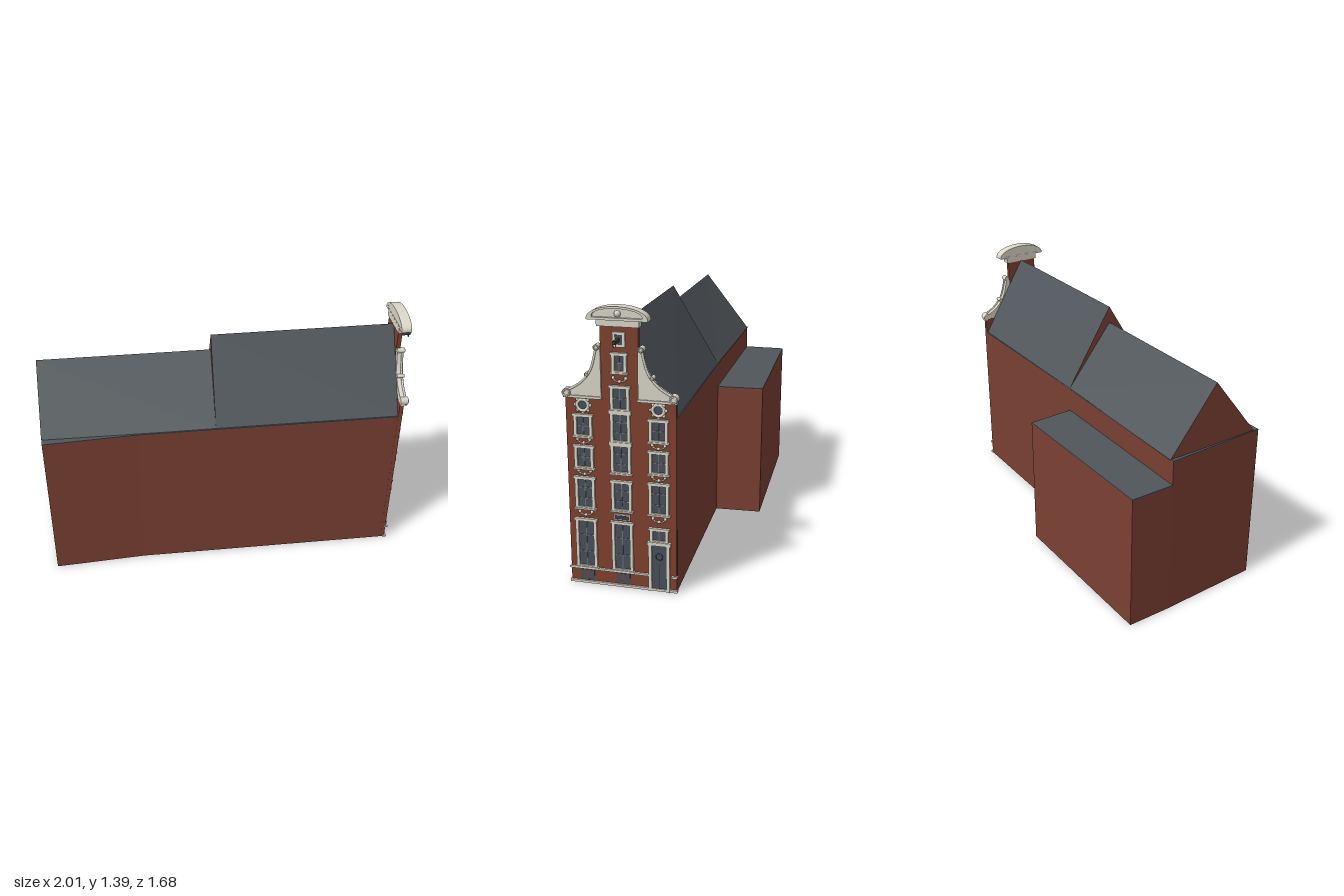
import * as THREE from 'three';

const mat = (name, color) => {
  const m = new THREE.MeshStandardMaterial({ color });
  m.name = name;
  return m;
};

export function createModel() {
  const brick = mat('brick', 0x7a4033);
  const frontBrick = mat('front brick', 0x7f402e);
  const slate = mat('slate', 0x50565b);
  const stone = mat('stone', 0xdad6c8);
  const glass = mat('dark glass', 0x48505a);
  const sash = mat('sash grey', 0x6f747a);
  const iron = mat('dark iron', 0x393b3c);

  const model = new THREE.Group();
  model.name = 'canalHouse';
  const add = (parent, name, geometry, material, x = 0, y = 0, z = 0) => {
    const m = new THREE.Mesh(geometry, material);
    m.name = name;
    m.position.set(x, y, z);
    parent.add(m);
    return m;
  };

  // Upright prism over a footprint of [x, z] points
  const prism = (name, pts, y0, y1, material) => {
    const shape = new THREE.Shape(pts.map(([x, z]) => new THREE.Vector2(x, -z)));
    const g = new THREE.ExtrudeGeometry(shape, { depth: y1 - y0, bevelEnabled: false });
    g.rotateX(-Math.PI / 2);
    add(model, name, g, material, 0, y0, 0);
  };
  const body = [[0.976, -0.412], [0.638, -0.82], [-0.12, -0.18], [-0.85, 0.42], [-0.48, 0.83], [-0.115, 0.49]];
  const annex = [[-0.29, -0.365], [-1, 0.24], [-0.85, 0.42], [-0.12, -0.18]];
  prism('bodyWalls', body, 0, 0.87, brick);
  prism('bodyCap', body, 0.87, 0.875, slate);
  prism('annexWalls', annex, 0, 0.737, brick);
  prism('annexRoof', annex, 0.737, 0.742, slate);

  // Saddle roof: eave, ridge, eave at the rear (a, b, c) and at the front (d, e, f)
  const faces = (name, tris, material) => {
    const g = new THREE.BufferGeometry();
    g.setAttribute('position', new THREE.Float32BufferAttribute(tris.flat(), 3));
    g.computeVertexNormals();
    add(model, name, g, material);
  };
  const saddleRoof = (name, a, b, c, d, e, f) => {
    faces(name + 'Slopes', [d, e, b, d, b, a, f, c, b, f, b, e], slate);
    faces(name + 'Gables', [a, b, c, d, f, e], brick);
  };
  saddleRoof('frontRoof', [0.2, 0.873, 0.22], [0.038, 1.3, 0.022], [-0.12, 0.873, -0.18],
    [0.968, 0.873, -0.412], [0.803, 1.3, -0.614], [0.64, 0.873, -0.814]);
  saddleRoof('rearRoof', [-0.505, 0.88, 0.805], [-0.668, 1.21, 0.607], [-0.838, 0.873, 0.405],
    [0.2, 0.873, 0.22], [0.038, 1.21, 0.022], [-0.12, 0.873, -0.18]);

  // Street front, built flat: x to the right seen from the street, z outwards
  const front = new THREE.Group();
  front.name = 'streetFront';
  front.position.set(0.815, 0, -0.622);
  front.rotation.y = 2.263;
  model.add(front);
  const box = (name, w, h, d, material, x, y, z) =>
    add(front, name, new THREE.BoxGeometry(w, h, d), material, x, y, z);
  const slab = (name, shape, depth, material, z) =>
    add(front, name, new THREE.ExtrudeGeometry(shape, { depth, bevelEnabled: false, curveSegments: 20 }), material, 0, 0, z);
  const poly = (pts) => new THREE.Shape(pts.map(([x, y]) => new THREE.Vector2(x, y)));
  const rect = (x0, x1, y0, y1) => [[x0, y0], [x1, y0], [x1, y1], [x0, y1]];

  slab('frontWall', poly([[-0.265, 0], [0.265, 0], [0.265, 0.96], [0.09, 0.96],
    [0.09, 1.3], [-0.09, 1.3], [-0.09, 0.96], [-0.265, 0.96]]), 0.022, frontBrick, -0.022);
  box('baseCourse', 0.54, 0.012, 0.02, stone, 0, 0.006, 0);
  for (const [x, w] of [[-0.065, 0.41], [0.255, 0.03]])
    box('plinthCourse', w, 0.01, 0.02, stone, x, 0.08, 0.001);

  // Sash window with eared stone frame, sill and glazing bars
  const windowAt = (x, y0, y1, w = 0.1, rows = 2) => {
    const t = 0.015, h = w / 2;
    const shape = poly(rect(x - h, x + h, y0, y1));
    shape.holes.push(new THREE.Path(poly(rect(x - h + t, x + h - t, y0 + t, y1 - t)).getPoints()));
    slab('windowFrame', shape, 0.014, stone, -0.002);
    box('windowGlass', w - t, y1 - y0 - t, 0.006, glass, x, (y0 + y1) / 2, 0.001);
    box('glazingBar', 0.004, y1 - y0 - 2 * t, 0.004, sash, x, (y0 + y1) / 2, 0.005);
    for (let i = 1; i < rows; i++)
      box('glazingBar', w - 2 * t, 0.004, 0.004, sash, x, y0 + (y1 - y0) * i / rows, 0.005);
    box('windowSill', w + 0.014, 0.008, 0.02, stone, x, y0 + 0.004, 0.006);
    box('windowLintel', w + 0.012, 0.012, 0.018, stone, x, y1 - 0.006, 0.005);
  };
  // Hanging garland with a knob at each end and in the middle
  const garland = (x, y) => {
    const arc = add(front, 'garland', new THREE.TorusGeometry(0.03, 0.005, 6, 12, Math.PI), stone, x, y, 0.004);
    arc.rotation.z = Math.PI;
    arc.scale.y = 0.6;
    for (const [dx, dy] of [[-0.03, 0], [0.03, 0], [0, -0.016]])
      add(front, 'garlandKnob', new THREE.SphereGeometry(0.008, 8, 6), stone, x + dx, y + dy, 0.004);
  };

  // Side bays
  for (const s of [-1, 1]) {
    const x = s * 0.181;
    windowAt(x, 0.392, 0.56, 0.098, 3);
    windowAt(x, 0.597, 0.718, 0.094);
    windowAt(x, 0.755, 0.872, 0.09);
    garland(x, 0.378);
    garland(x, 0.588);
    garland(x, 0.745);
    // Round attic window with a scalloped ring
    add(front, 'oculusRing', new THREE.TorusGeometry(0.027, 0.008, 8, 20), stone, x, 0.914, 0.002);
    const pane = add(front, 'oculusGlass', new THREE.CylinderGeometry(0.024, 0.024, 0.006, 20), glass, x, 0.914, 0.001);
    pane.rotation.x = Math.PI / 2;
    for (let i = 0; i < 8; i++) {
      const a = i * Math.PI / 4;
      add(front, 'oculusKnob', new THREE.SphereGeometry(0.008, 8, 6), stone,
        x + 0.036 * Math.cos(a), 0.914 + 0.036 * Math.sin(a), 0.002);
    }
  }
  windowAt(-0.181, 0.082, 0.345, 0.105, 3);

  // Centre bay
  windowAt(0, 0.082, 0.345, 0.105, 3);
  windowAt(0, 0.395, 0.555, 0.1, 3);
  windowAt(0, 0.585, 0.74, 0.098, 3);
  windowAt(0, 0.74, 0.895, 0.096, 3);
  windowAt(0, 0.895, 1.02, 0.092);
  windowAt(0, 1.075, 1.175, 0.072);
  box('plaque', 0.08, 0.03, 0.012, stone, 0, 0.367, 0.002);
  box('plaqueField', 0.068, 0.02, 0.004, iron, 0, 0.367, 0.007);
  garland(0, 1.055);

  // Basement lights
  for (const x of [-0.181, 0]) {
    box('basementGlass', 0.068, 0.056, 0.006, glass, x, 0.042, 0.001);
    box('basementMullion', 0.01, 0.056, 0.008, frontBrick, x, 0.042, 0.001);
  }

  // Entrance door with transom light
  windowAt(0.181, 0.252, 0.33, 0.09, 1);
  for (const s of [-1, 1]) box('doorPost', 0.016, 0.245, 0.022, stone, 0.181 + s * 0.044, 0.122, 0.004);
  box('doorLintel', 0.116, 0.016, 0.026, stone, 0.181, 0.25, 0.004);
  box('doorLeaf', 0.074, 0.235, 0.008, glass, 0.181, 0.122, 0.001);
  box('doorSeam', 0.004, 0.13, 0.004, iron, 0.181, 0.075, 0.004);
  add(front, 'doorRing', new THREE.TorusGeometry(0.017, 0.002, 6, 16), iron, 0.181, 0.18, 0.005);

  // Neck gable scrolls
  for (const s of [-1, 1]) {
    const p = (x, y) => new THREE.Vector2(s * x, y);
    const curve = new THREE.SplineCurve([p(0.25, 0.985), p(0.185, 1.025), p(0.135, 1.09), p(0.108, 1.19)]);
    const shape = new THREE.Shape([p(0.088, 0.952), p(0.27, 0.952), p(0.27, 0.975),
      ...curve.getPoints(12), p(0.088, 1.2)]);
    slab('gableScroll', shape, 0.03, stone, -0.02);
    const rim = new THREE.CatmullRomCurve3(curve.getPoints(8).map((v) => new THREE.Vector3(v.x, v.y, 0.008)));
    add(front, 'scrollRim', new THREE.TubeGeometry(rim, 16, 0.006, 6), stone);
    for (const [x, y, r] of [[0.255, 0.972, 0.021], [0.105, 1.195, 0.014], [0.155, 1.065, 0.01]]) {
      const curl = add(front, 'scrollCurl', new THREE.CylinderGeometry(r, r, 0.04, 16), stone, s * x, y, -0.002);
      curl.rotation.x = Math.PI / 2;
      add(front, 'curlRing', new THREE.TorusGeometry(r * 0.7, r * 0.2, 6, 14), stone, s * x, y, 0.018);
    }
    box('scrollFoot', 0.185, 0.012, 0.036, stone, s * 0.178, 0.956, -0.002);
  }

  // Crowning arched pediment
  box('frieze', 0.2, 0.034, 0.045, stone, 0, 1.313, -0.003);
  const arch = (w, y0, rise) => {
    const s = new THREE.Shape();
    s.moveTo(-w, y0);
    s.lineTo(w, y0);
    s.absellipse(0, y0 + 0.006, w, rise, 0, Math.PI, false);
    return s;
  };
  const rim = arch(0.143, 1.326, 0.058);
  rim.holes.push(arch(0.118, 1.338, 0.036));
  slab('pedimentRim', rim, 0.055, stone, -0.025);
  slab('pedimentField', arch(0.13, 1.33, 0.045), 0.04, stone, -0.024);
  add(front, 'pedimentShell', new THREE.SphereGeometry(0.016, 10, 8), stone, 0, 1.355, 0.016);

  // Hoist beam and its stone surround
  box('hoistHatchFrame', 0.06, 0.07, 0.012, stone, 0, 1.235, 0.002);
  box('hoistHatch', 0.036, 0.045, 0.006, glass, 0, 1.235, 0.007);
  box('hoistBeam', 0.014, 0.016, 0.085, iron, 0, 1.235, 0.035);
  add(front, 'hoistHook', new THREE.TorusGeometry(0.007, 0.002, 6, 12), iron, 0, 1.222, 0.068);

  return model;
}
